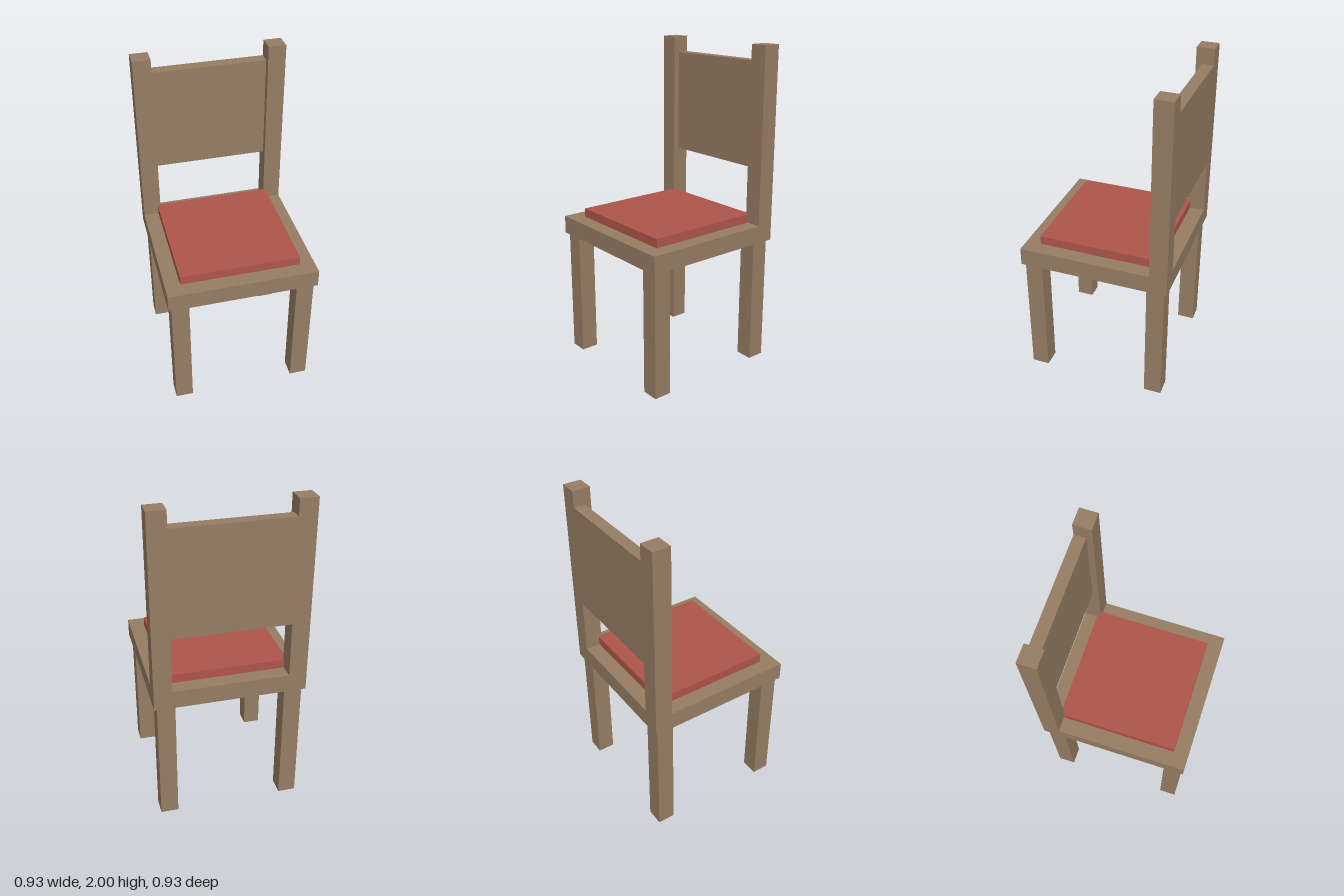
import * as THREE from 'three';

export function createModel() {
  const wood = new THREE.MeshStandardMaterial({ color: 0x967d64 });
  wood.name = 'wood';
  const fabric = new THREE.MeshStandardMaterial({ color: 0xae554b });
  fabric.name = 'red fabric';

  const chair = new THREE.Group();
  chair.name = 'chair';

  // Box given by its minimum and maximum corners
  const addBox = (name, material, [x0, y0, z0], [x1, y1, z1]) => {
    const mesh = new THREE.Mesh(new THREE.BoxGeometry(x1 - x0, y1 - y0, z1 - z0), material);
    mesh.position.set((x0 + x1) / 2, (y0 + y1) / 2, (z0 + z1) / 2);
    mesh.name = name;
    chair.add(mesh);
  };

  const half = 0.463, seatBottom = 0.797, seatTop = 0.908;

  // Seat and cushion
  addBox('seat', wood, [-half, seatBottom, -half], [half, seatTop, half]);
  addBox('cushion', fabric, [-0.37, seatTop, -0.37], [0.37, 0.963, 0.37]);

  for (const [side, sx] of [['left', 1], ['right', -1]]) {
    // Legs, set in slightly from the seat edge
    for (const [end, sz] of [['front', 1], ['back', -1]]) {
      const x = sx * 0.389, z = sz * 0.389, r = 0.0545;
      addBox(`${end} ${side} leg`, wood, [x - r, 0, z - r], [x + r, seatBottom, z + r]);
    }
    // Back posts, flush with the seat's rear corners
    const px = sx * 0.408;
    addBox(`${side} back post`, wood, [px - 0.055, seatTop, -half], [px + 0.055, 2, -0.353]);
  }

  // Back panel between the posts, flush with their rear faces
  addBox('back panel', wood, [-0.353, 1.253, -half], [0.353, 1.9, -0.391]);

  return chair;
}
